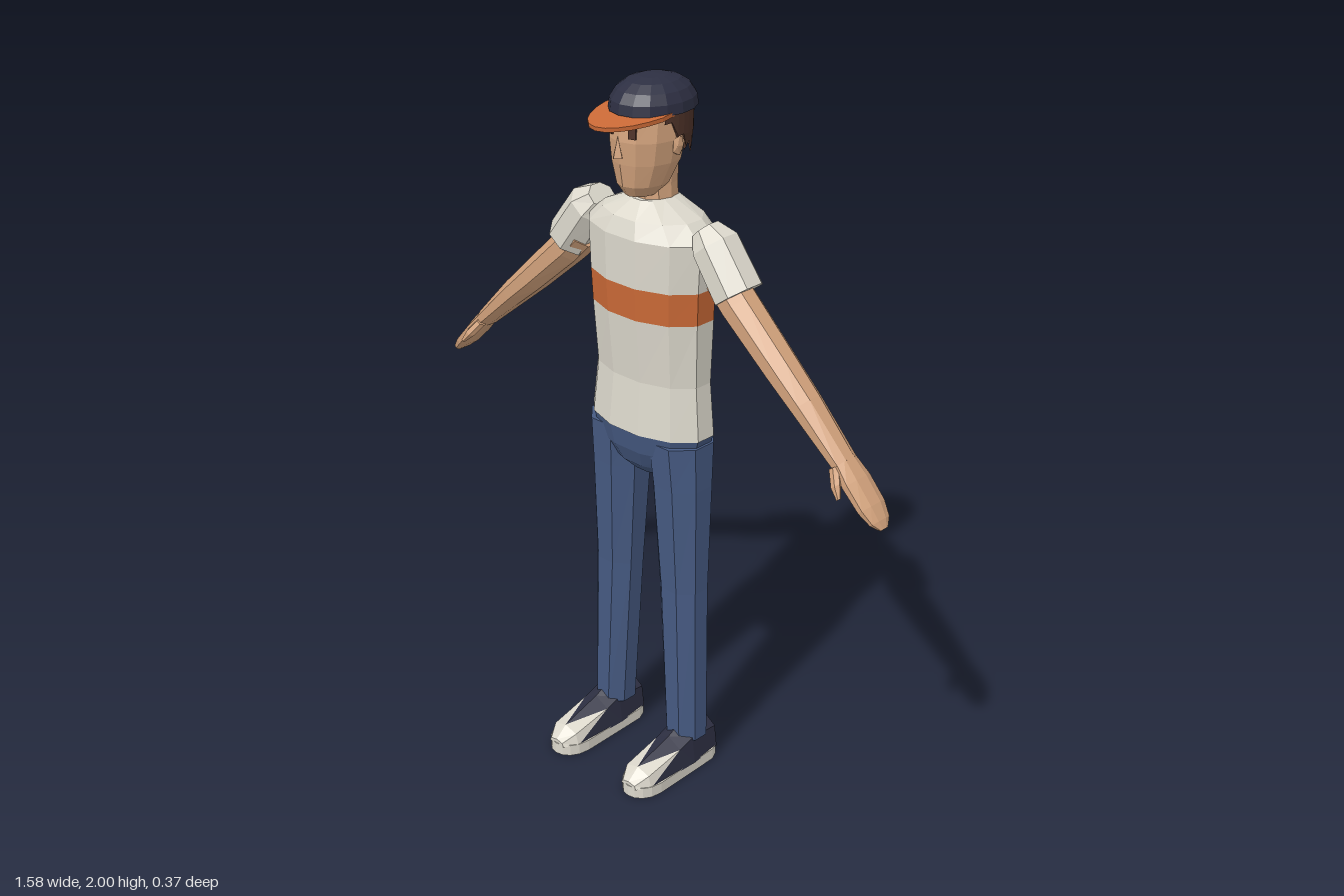
import * as THREE from 'three';

const mat = (name, color, side = THREE.FrontSide) => {
  const m = new THREE.MeshStandardMaterial({ color, side });
  m.name = name;
  return m;
};

// Turns a flat list of triangle corners into a faceted geometry.
function facets(tris) {
  const g = new THREE.BufferGeometry().setFromPoints(tris);
  g.computeVertexNormals();
  return g;
}

// Skins closed rings of points and caps both ends.
function loft(rings) {
  const t = [], n = rings[0].length;
  for (let k = 0; k + 1 < rings.length; k++) {
    for (let i = 0; i < n; i++) {
      const j = (i + 1) % n, a = rings[k], b = rings[k + 1];
      t.push(a[i], a[j], b[j], a[i], b[j], b[i]);
    }
  }
  const centre = r => r.reduce((s, p) => s.add(p), new THREE.Vector3()).divideScalar(n);
  const lo = rings[0], hi = rings[rings.length - 1], cl = centre(lo), ch = centre(hi);
  for (let i = 0; i < n; i++) {
    const j = (i + 1) % n;
    t.push(cl, lo[j], lo[i], ch, hi[i], hi[j]);
  }
  return facets(t);
}

// Oval ring around centre c; u and v are the half-axis vectors.
function oval(c, u, v, n, offset = 0.5) {
  const k = offset ? 1 / Math.cos(Math.PI / n) : 1;
  return Array.from({ length: n }, (_, i) => {
    const a = (i + offset) / n * Math.PI * 2;
    return c.clone().addScaledVector(u, Math.sin(a) * k).addScaledVector(v, Math.cos(a) * k);
  });
}

const V = (x, y, z) => new THREE.Vector3(x, y, z);

// Level ring from [y, half width, front z, back z, centre x].
const level = (n, offset) => ([y, w, zf, zb, x = 0]) =>
  oval(V(x, y, (zf + zb) / 2), V(w, 0, 0), V(0, 0, (zf - zb) / 2), n, offset);

// Rings along a limb path of [x, y, z, thickness, depth].
function limbRings(path, n = 8) {
  return path.map(([x, y, z, tu, tv], i) => {
    const p = path[Math.max(i - 1, 0)], q = path[Math.min(i + 1, path.length - 1)];
    const d = V(q[0] - p[0], q[1] - p[1], 0).normalize();
    return oval(V(x, y, z), V(d.y, -d.x, 0).multiplyScalar(tu), V(0, 0, tv), n);
  });
}

// Mirrors rings to the other side, keeping faces outward.
const sided = (rings, s) => s > 0 ? rings
  : rings.map(r => r.map(p => V(-p.x, p.y, p.z)).reverse());

export function createModel() {
  const root = new THREE.Group();
  const skin = mat('skin', 0xd2a27c), shirt = mat('offWhite', 0xdcd8cc);
  const orange = mat('orange', 0xcb6a37), denim = mat('denim', 0x465a82);
  const navy = mat('navy', 0x2d2f42), hair = mat('brown', 0x50342a, THREE.DoubleSide);
  const add = (name, geo, material, parent = root) => {
    const m = new THREE.Mesh(geo, material);
    m.name = name;
    parent.add(m);
    return m;
  };

  // Shirt body with a chest stripe
  const body = [
    [1.05, 0.195, 0.05, -0.175], [1.2, 0.18, 0.038, -0.168], [1.38, 0.187, 0.055, -0.178],
    [1.47, 0.191, 0.06, -0.18], [1.6, 0.197, 0.062, -0.18], [1.645, 0.145, 0.045, -0.165],
    [1.685, 0.055, 0, -0.125],
  ].map(level(12));
  add('shirtLower', loft(body.slice(0, 3)), shirt);
  add('shirtStripe', loft(body.slice(2, 4)), orange);
  add('shirtUpper', loft(body.slice(3)), shirt);

  // Hips
  add('hips', loft([
    [0.905, 0.07, -0.02, -0.1], [0.94, 0.125, 0.015, -0.14],
    [0.99, 0.175, 0.037, -0.165], [1.05, 0.193, 0.048, -0.173],
  ].map(level(12))), denim);

  // Neck and head
  add('neck', loft([[1.65, 0.055, -0.01, -0.13], [1.72, 0.049, -0.015, -0.13],
    [1.82, 0.049, -0.02, -0.135]].map(level(10))), skin);
  add('head', loft([
    [1.7, 0.038, 0.03, -0.07], [1.73, 0.062, 0.05, -0.1], [1.79, 0.083, 0.06, -0.135],
    [1.85, 0.092, 0.065, -0.15], [1.93, 0.09, 0.055, -0.16],
  ].map(level(12, 0))), skin);
  const nose = add('nose', new THREE.ConeGeometry(0.016, 0.055, 4).toNonIndexed(), skin);
  nose.geometry.computeVertexNormals();
  nose.position.set(0, 1.838, 0.067);

  // Hair shell with a jagged, slanting lower edge
  const strip = [], cols = 22;
  const column = i => {
    const t = i / cols * 2 - 1, a = Math.PI - t * 2.05;
    const low = 1.78 + 0.115 * Math.pow(Math.abs(t), 2.2) + (i % 2 ? 0.025 : 0);
    const at = (y, k) => V(Math.sin(a) * 0.099 * k, y, -0.06 + Math.cos(a) * 0.107 * k);
    return [at(low, 0.93), at(Math.max(1.86, low), 0.99), at(1.925, 1)];
  };
  for (let i = 0; i < cols; i++) {
    const p = column(i + 1), q = column(i);
    for (let k = 0; k < 2; k++) strip.push(q[k], p[k + 1], p[k], q[k], q[k + 1], p[k + 1]);
  }
  // Columns run clockwise from above, so reverse each triangle outward.
  for (let i = 0; i < strip.length; i += 3) {
    const [a, b, c] = strip.slice(i, i + 3);
    const n = b.clone().sub(a).cross(c.clone().sub(a));
    if (n.x * a.x + n.z * (a.z + 0.06) < 0) [strip[i + 1], strip[i + 2]] = [c, b];
  }
  add('hair', facets(strip), hair);

  // Cap dome and visor
  add('capDome', loft([[1.918, 1], [1.945, 0.97], [1.97, 0.83], [1.988, 0.6], [1.997, 0.33], [2, 0.05]]
    .map(([y, k]) => level(16, 0)([y, 0.103 * k, -0.06 + 0.125 * k, -0.06 - 0.125 * k]))), navy);
  const brim = new THREE.Shape();
  brim.moveTo(-0.095, -0.05);
  brim.lineTo(0.095, -0.05);
  brim.lineTo(0.1, 0.01);
  brim.bezierCurveTo(0.09, 0.08, 0.05, 0.147, 0, 0.147);
  brim.bezierCurveTo(-0.05, 0.147, -0.09, 0.08, -0.1, 0.01);
  const visor = add('capVisor', new THREE.ExtrudeGeometry(brim,
    { depth: 0.011, bevelEnabled: false, curveSegments: 5 }).rotateX(Math.PI / 2), orange);
  visor.position.y = 1.922;
  visor.rotation.x = 0.1;

  for (const s of [1, -1]) {
    const side = s > 0 ? 'left' : 'right';

    // Eye and ear
    const eye = add(side + 'Eye', new THREE.BoxGeometry(0.02, 0.026, 0.009), hair);
    eye.position.set(s * 0.037, 1.875, 0.052);
    eye.rotation.y = s * 0.29;
    const ear = add(side + 'Ear', new THREE.IcosahedronGeometry(1, 0).scale(0.011, 0.03, 0.02), skin);
    ear.position.set(s * 0.09, 1.835, -0.055);

    // Sleeve, arm, hand and thumb
    const limb = (name, path, material, n) =>
      add(side + name, loft(sided(limbRings(path, n), s)), material);
    limb('Sleeve', [[0.185, 1.635, -0.06, 0.035, 0.04], [0.218, 1.603, -0.06, 0.06, 0.063],
      [0.3, 1.492, -0.06, 0.062, 0.066]], shirt);
    limb('Arm', [[0.25, 1.52, -0.06, 0.047, 0.052], [0.305, 1.465, -0.06, 0.047, 0.052],
      [0.45, 1.335, -0.06, 0.041, 0.048], [0.53, 1.265, -0.06, 0.036, 0.045],
      [0.658, 1.148, -0.06, 0.024, 0.038]], skin);
    limb('Hand', [[0.65, 1.158, -0.06, 0.022, 0.036], [0.695, 1.11, -0.062, 0.022, 0.046],
      [0.745, 1.057, -0.063, 0.018, 0.045], [0.773, 1.027, -0.063, 0.011, 0.034],
      [0.788, 1.01, -0.063, 0.004, 0.014]], skin);
    limb('Thumb', [[0.65, 1.145, -0.03, 0.012, 0.014], [0.675, 1.11, -0.008, 0.012, 0.013],
      [0.695, 1.083, 0.004, 0.005, 0.006]], skin, 6);

    // Trouser leg
    add(side + 'Leg', loft(sided([
      [0.1, 0.056, -0.003, -0.115, 0.142], [0.58, 0.067, 0, -0.12, 0.123],
      [0.9, 0.08, 0.017, -0.135, 0.114], [1.03, 0.086, 0.028, -0.145, 0.108],
    ].map(level(8)), s)), denim);

    // Shoe: sole, upper and zigzag toe cap
    const shoe = new THREE.Group();
    shoe.name = side + 'Shoe';
    shoe.position.x = s * 0.146;
    root.add(shoe);
    const outline = new THREE.Shape();
    outline.moveTo(-0.04, -0.138);
    outline.lineTo(0.04, -0.138);
    outline.lineTo(0.053, -0.11);
    outline.lineTo(0.059, 0.11);
    outline.bezierCurveTo(0.059, 0.21, -0.059, 0.21, -0.059, 0.11);
    outline.lineTo(-0.053, -0.11);
    add('sole', new THREE.ExtrudeGeometry(outline,
      { depth: 0.034, bevelEnabled: false, curveSegments: 8 }).rotateX(Math.PI / 2).translate(0, 0.034, 0),
      shirt, shoe);
    const arch = ([z, w, top]) => [V(w, 0.03, z), V(w * 0.8, 0.03 + (top - 0.03) * 0.72, z),
      V(0, top, z), V(-w * 0.8, 0.03 + (top - 0.03) * 0.72, z), V(-w, 0.03, z)];
    const [heel, ankle, instep, toe, tip] = [[-0.136, 0.045, 0.12], [-0.03, 0.058, 0.142],
      [0.02, 0.057, 0.118], [0.145, 0.053, 0.078], [0.182, 0.028, 0.045]].map(arch);
    add('upper', loft([heel, ankle, instep]), navy, shoe);
    const dark = [], light = [];
    for (let i = 0; i < 4; i++) {
      const [a, b, c, d] = [instep[i], instep[i + 1], toe[i + 1], toe[i]];
      if (i % 2 === 0) {   // light peak at b
        dark.push(a, b, d);
        light.push(b, c, d);
      } else {             // light peak at a
        dark.push(a, b, c);
        light.push(a, c, d);
      }
    }
    add('vamp', facets(dark), navy, shoe);
    add('toePanels', facets(light), shirt, shoe);
    add('toeCap', loft([toe, tip]), shirt, shoe);
  }
  return root;
}
